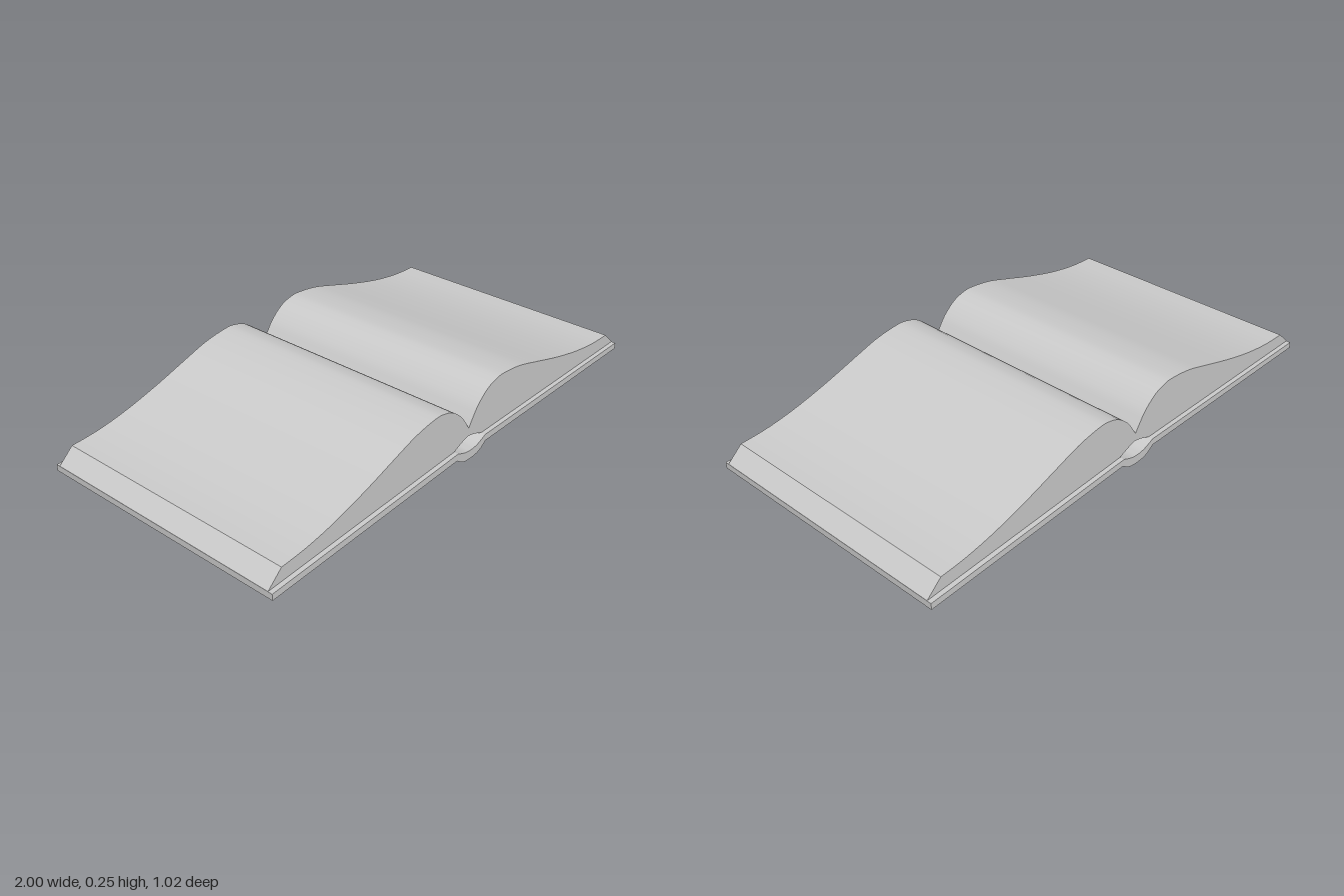
import * as THREE from 'three';
import { toCreasedNormals } from 'three/addons/utils/BufferGeometryUtils.js';

const material = new THREE.MeshStandardMaterial({ color: 0xcccccc });

// Smooth curve through [x, y] points
const smooth = (points, n) =>
  new THREE.SplineCurve(points.map(([x, y]) => new THREE.Vector2(x, y))).getPoints(n);

// Extrude a closed outline along z, centred on z = 0
function slab(name, outline, depth) {
  const geometry = new THREE.ExtrudeGeometry(new THREE.Shape(outline), {
    depth, bevelEnabled: false, steps: 1,
  });
  geometry.translate(0, 0, -depth / 2);
  const mesh = new THREE.Mesh(toCreasedNormals(geometry, 0.35), material);
  mesh.name = name;
  return mesh;
}

const mirrorX = (points) => points.map((p) => new THREE.Vector2(-p.x, p.y)).reverse();

export function createModel() {
  const book = new THREE.Group();
  book.name = 'openBook';

  // Page block: arched top, sloping fore edge, underside resting on the cover
  const top = smooth([
    [0, 0.116], [0.02, 0.147], [0.05, 0.187], [0.1, 0.227], [0.15, 0.245], [0.2, 0.249],
    [0.3, 0.235], [0.4, 0.206], [0.55, 0.16], [0.7, 0.122], [0.83, 0.101], [0.94, 0.095],
  ], 36);
  const underside = [
    new THREE.Vector2(1, 0.041),
    new THREE.Vector2(0.08, 0.058),
    ...smooth([[0.06, 0.066], [0.03, 0.077], [0, 0.084]], 4),
  ];
  const rightHalf = [...top, ...underside];
  book.add(slab('leftPages', rightHalf, 0.99));
  book.add(slab('rightPages', mirrorX(rightHalf), 0.99));

  // Cover: two gently sloped boards joined by a rounded, dipping spine
  const upper = [
    ...smooth([[0, 0.035], [0.03, 0.038], [0.06, 0.048], [0.08, 0.057]], 8),
    new THREE.Vector2(1, 0.04),
  ];
  const lower = [
    new THREE.Vector2(1, 0.015),
    new THREE.Vector2(0.085, 0.03),
    ...smooth([[0.06, 0.012], [0.035, 0.003], [0, 0]], 8),
  ];
  const half = [...upper, ...lower];
  // drop the centre points when mirroring so they are not repeated
  book.add(slab('cover', [...half, ...mirrorX(half).slice(1, -1)], 1.024));

  return book;
}
